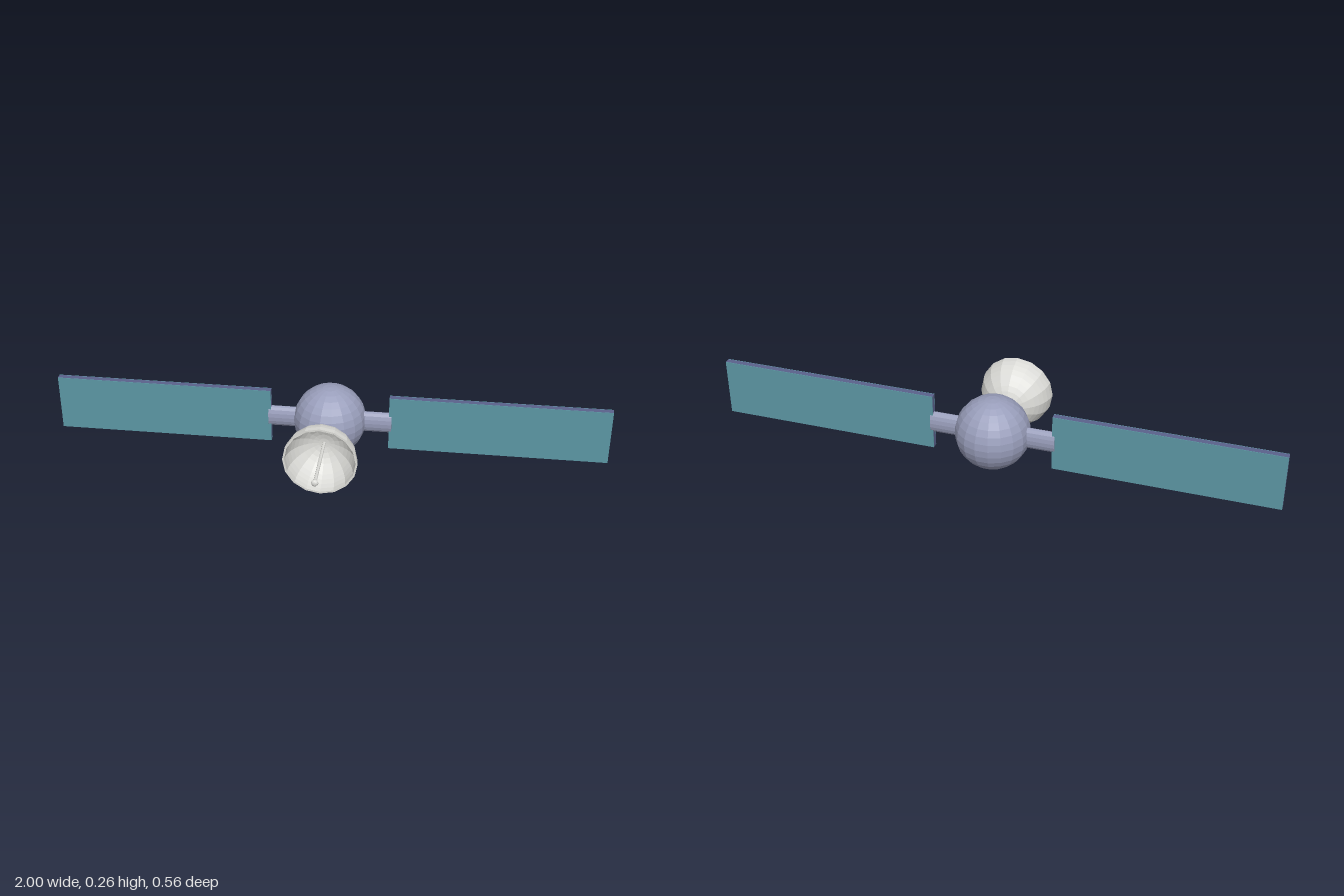
import * as THREE from 'three';

const mat = (name, color) => {
  const m = new THREE.MeshStandardMaterial({ color, flatShading: true });
  m.name = name;
  return m;
};

export function createModel() {
  const group = new THREE.Group();
  const hullBlue = mat('hullBlue', 0x9a9fbc);
  const panelTeal = mat('panelTeal', 0x5c97a4);
  const frameBlue = mat('frameBlue', 0x5a628c);
  const dishWhite = mat('dishWhite', 0xdcdcd8);
  const CY = 0.131, CZ = -0.149, R = 0.131;

  const add = (name, geometry, material, x, y, z) => {
    const mesh = new THREE.Mesh(geometry, material);
    mesh.name = name;
    mesh.position.set(x, y, z);
    group.add(mesh);
    return mesh;
  };
  // Cylinder lying along z between two depths
  const rod = (name, r, z0, z1, sides) =>
    add(name, new THREE.CylinderGeometry(r, r, z1 - z0, sides).rotateX(Math.PI / 2),
      dishWhite, 0, CY, (z0 + z1) / 2);

  // Round body
  add('body', new THREE.SphereGeometry(R, 18, 16), hullBlue, 0, CY, CZ);

  // Solar wings: flattened strut, frame core and a cell plate on both faces
  for (const s of [-1, 1]) {
    const strut = new THREE.CylinderGeometry(1, 1, 0.145, 16).rotateZ(Math.PI / 2).scale(1, 0.04, 0.019);
    add('wingStrut', strut, hullBlue, s * 0.151, CY, CZ);
    add('wingFrame', new THREE.BoxGeometry(0.786, 0.207, 0.02), frameBlue, s * 0.607, 0.133, CZ);
    for (const f of [-1, 1]) {
      add('solarCells', new THREE.BoxGeometry(0.786, 0.207, 0.002), panelTeal, s * 0.607, 0.133, CZ + f * 0.011);
    }
  }

  // Hemispherical dish with a thin wall, opening to the front
  const profile = [];
  const steps = 10, inner = R - 0.007;
  for (let i = 0; i <= steps; i++) {
    const a = (i / steps) * Math.PI / 2;
    profile.push(new THREE.Vector2(R * Math.sin(a), -R * Math.cos(a)));
  }
  for (let i = steps; i >= 0; i--) {
    const a = (i / steps) * Math.PI / 2;
    profile.push(new THREE.Vector2(inner * Math.sin(a), -inner * Math.cos(a)));
  }
  add('dish', new THREE.LatheGeometry(profile, 16).rotateX(Math.PI / 2), dishWhite, 0, CY, 0.141);

  // Neck, feed antenna and its tip
  rod('dishNeck', 0.025, -0.03, 0.016, 16);
  rod('antenna', 0.006, 0.012, 0.268, 8);
  const tip = new THREE.SphereGeometry(0.013, 10, 6).rotateX(Math.PI / 2).scale(1, 1, 0.7);
  add('antennaTip', tip, dishWhite, 0, CY, 0.271);

  return group;
}
